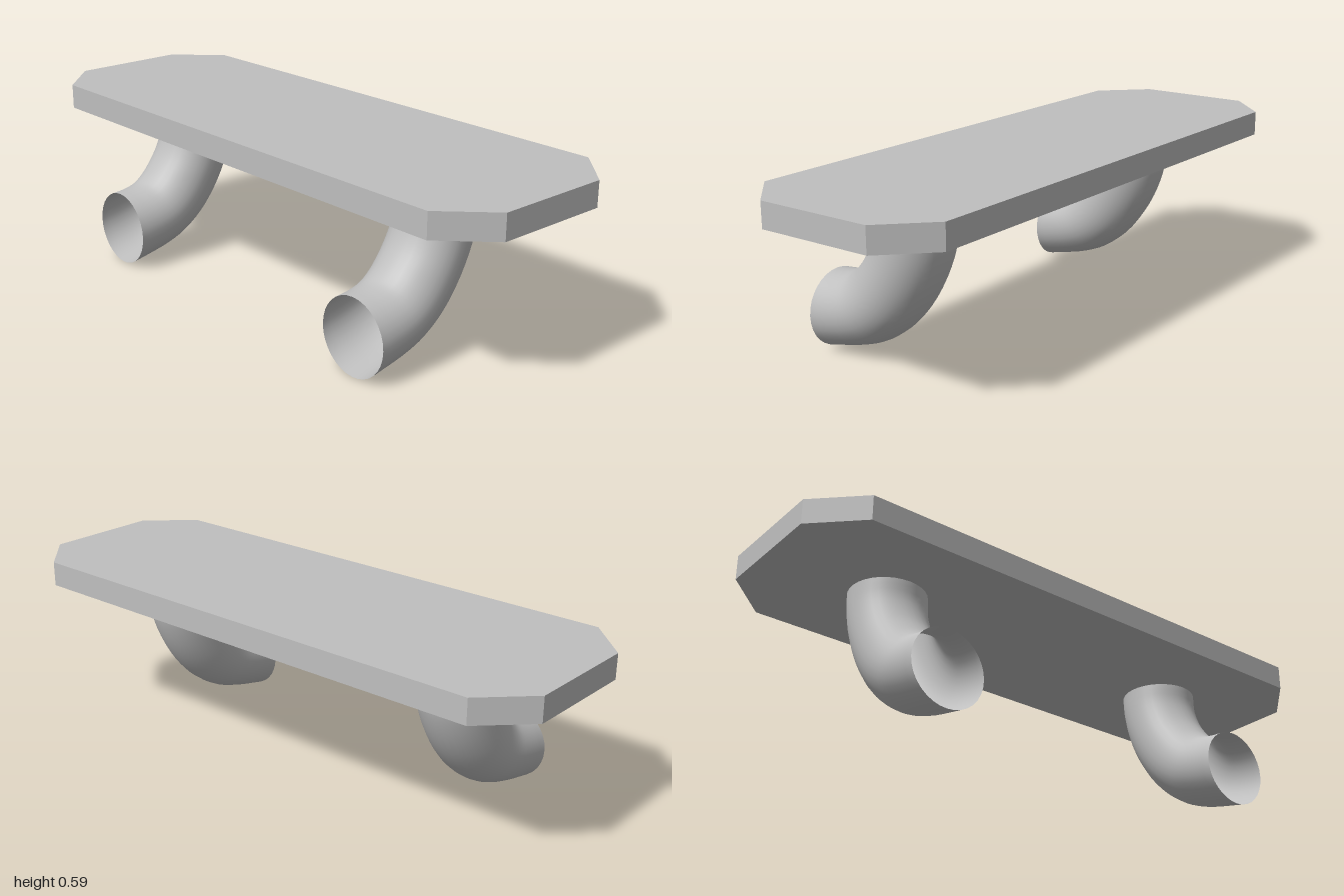
import * as THREE from 'three';

const grey = new THREE.MeshStandardMaterial({ color: 0xbfbfbf, side: THREE.DoubleSide });
grey.name = 'light grey';

// Flat plate with chamfered corners
function plateGeometry() {
  const corners = [
    [-0.34, -0.855], [-0.196, -1], [0.196, -1], [0.34, -0.855],
    [0.34, 0.855], [0.196, 1], [-0.196, 1], [-0.34, 0.855],
  ];
  const shape = new THREE.Shape(corners.map(([x, z]) => new THREE.Vector2(x, z)));
  return new THREE.ExtrudeGeometry(shape, { depth: 0.082, bevelEnabled: false })
    .rotateX(-Math.PI / 2)
    .translate(0, 0.505, 0);
}

// Open bent pipe: elliptical rings spanned between an outer and an inner bend line
function pipeGeometry(rings = 24, sides = 32) {
  const curve = (points) =>
    new THREE.CatmullRomCurve3(points.map(([x, y]) => new THREE.Vector3(x, y, 0)));
  const outer = curve([
    [0.126, 0.505], [0.12, 0.44], [0.1, 0.35], [0.05, 0.24],
    [-0.03, 0.135], [-0.12, 0.067], [-0.2, 0.035], [-0.341, 0.002],
  ]);
  const inner = curve([
    [-0.126, 0.505], [-0.13, 0.44], [-0.16, 0.365], [-0.2, 0.31],
    [-0.225, 0.285], [-0.25, 0.268], [-0.29, 0.258], [-0.341, 0.253],
  ]);
  const position = [];
  const index = [];
  for (let i = 0; i <= rings; i++) {
    const a = outer.getPoint(i / rings);
    const b = inner.getPoint(i / rings);
    for (let j = 0; j < sides; j++) {
      const angle = (j / sides) * Math.PI * 2;
      const p = b.clone().lerp(a, 0.5 + 0.5 * Math.cos(angle));
      position.push(p.x, p.y, 0.125 * Math.sin(angle));
      if (i < rings) {
        const k = i * sides + j;
        const n = i * sides + ((j + 1) % sides);
        index.push(k, n + sides, n, k, k + sides, n + sides);
      }
    }
  }
  // Flip the winding so the outside faces outward
  for (let i = 0; i < index.length; i += 3) {
    [index[i + 1], index[i + 2]] = [index[i + 2], index[i + 1]];
  }
  const geometry = new THREE.BufferGeometry();
  geometry.setAttribute('position', new THREE.Float32BufferAttribute(position, 3));
  geometry.setIndex(index);
  geometry.computeVertexNormals();
  return geometry;
}

export function createModel() {
  const model = new THREE.Group();
  model.name = 'plateOnBentPipes';

  const plate = new THREE.Mesh(plateGeometry(), grey);
  plate.name = 'plate';
  model.add(plate);

  // Matching pipes under the front and back
  const pipe = pipeGeometry();
  for (const [name, z] of [['frontPipe', 0.582], ['backPipe', -0.582]]) {
    const mesh = new THREE.Mesh(pipe, grey);
    mesh.name = name;
    mesh.position.z = z;
    model.add(mesh);
  }
  return model;
}
